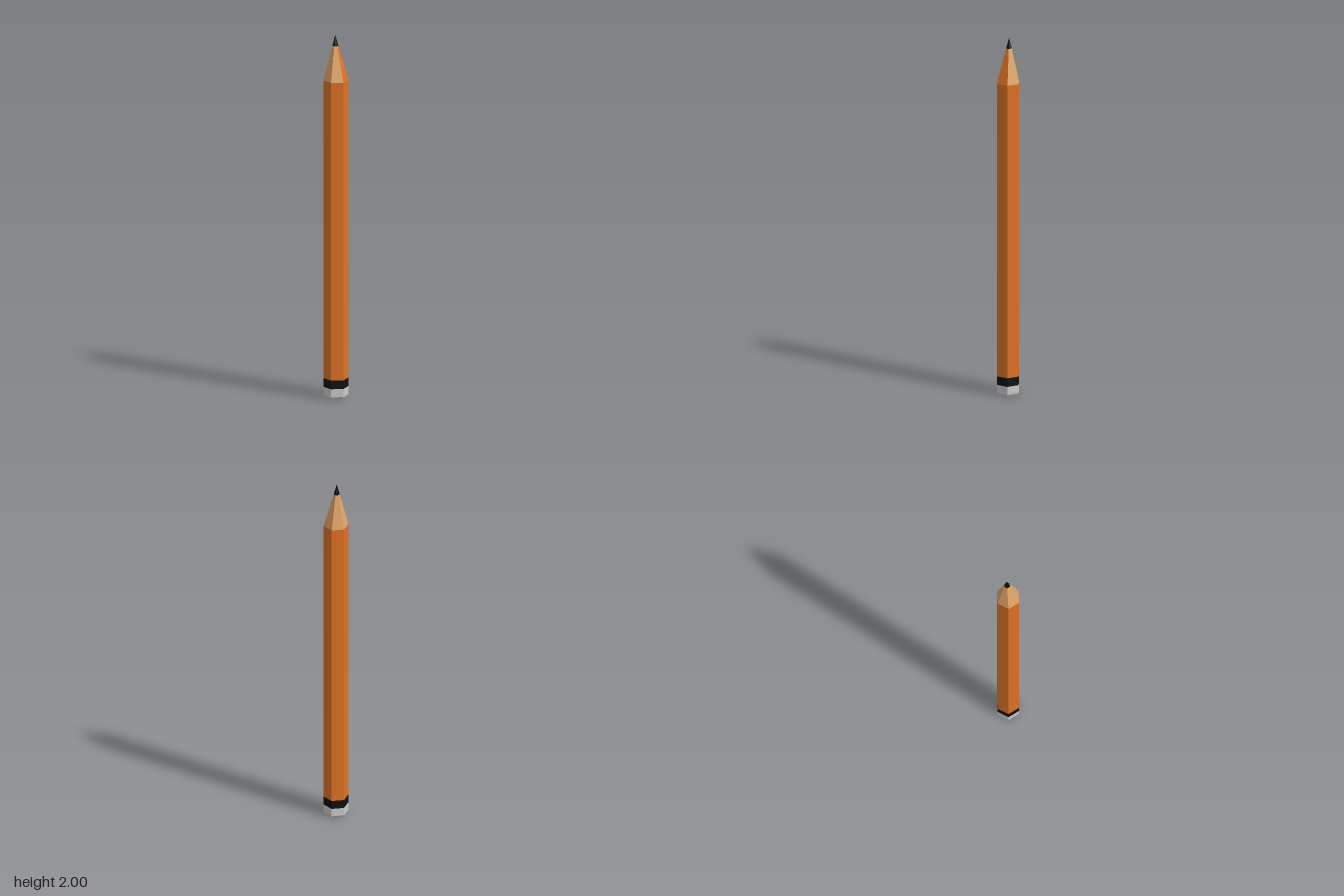
import * as THREE from 'three';

const SIDES = 6;
const RADIUS = 0.067;
const SHOULDER = 1.75; // where the sharpened cone starts
const LEAD = 1.94; // where the lead emerges
const TIP = 2;
const TIP_SHIFT = -0.007; // the point sits slightly behind the axis

const ORANGE = 0xe07226;
const WOOD = 0xe0a567;
const BLACK = 0x101010;
const GREY = 0xcccccc;

// Radius of the sharpened cone at height y
const coneRadius = (y) => RADIUS * (TIP - y) / (TIP - SHOULDER);

// Faceted hexagonal section between two heights, covering faces first .. first + count - 1
function section(name, color, y0, y1, r0, r1, first = 0, count = SIDES, open = true) {
  const step = (Math.PI * 2) / SIDES;
  const geometry = new THREE.CylinderGeometry(r1, r0, y1 - y0, count, 1, open, first * step, count * step);
  geometry.translate(0, (y0 + y1) / 2, 0);

  // Lean the sharpened end towards the off-centre tip
  const p = geometry.attributes.position;
  for (let i = 0; i < p.count; i++) {
    const t = Math.max(0, (p.getY(i) - SHOULDER) / (TIP - SHOULDER));
    p.setZ(i, p.getZ(i) + TIP_SHIFT * t);
  }
  geometry.computeVertexNormals();

  const material = new THREE.MeshStandardMaterial({ color, flatShading: true });
  const mesh = new THREE.Mesh(geometry, material);
  mesh.name = name;
  return mesh;
}

export function createModel() {
  const pencil = new THREE.Group();
  pencil.name = 'pencil';

  // Bottom end with a small chamfer
  pencil.add(section('endCapChamfer', GREY, 0, 0.012, 0.059, RADIUS, 0, SIDES, false));
  pencil.add(section('endCap', GREY, 0.012, 0.057, RADIUS, RADIUS));

  // Dark band and painted shaft
  pencil.add(section('band', BLACK, 0.057, 0.105, RADIUS, RADIUS));
  pencil.add(section('shaft', ORANGE, 0.105, SHOULDER, RADIUS, RADIUS));

  // Sharpened cone: one face still painted, five of bare wood
  const r = coneRadius(LEAD);
  pencil.add(section('paintedConeFace', ORANGE, SHOULDER, LEAD, RADIUS, r, 0, 1));
  pencil.add(section('woodCone', WOOD, SHOULDER, LEAD, RADIUS, r, 1, SIDES - 1));

  // Lead point
  pencil.add(section('lead', BLACK, LEAD, TIP, r, 0));

  return pencil;
}
